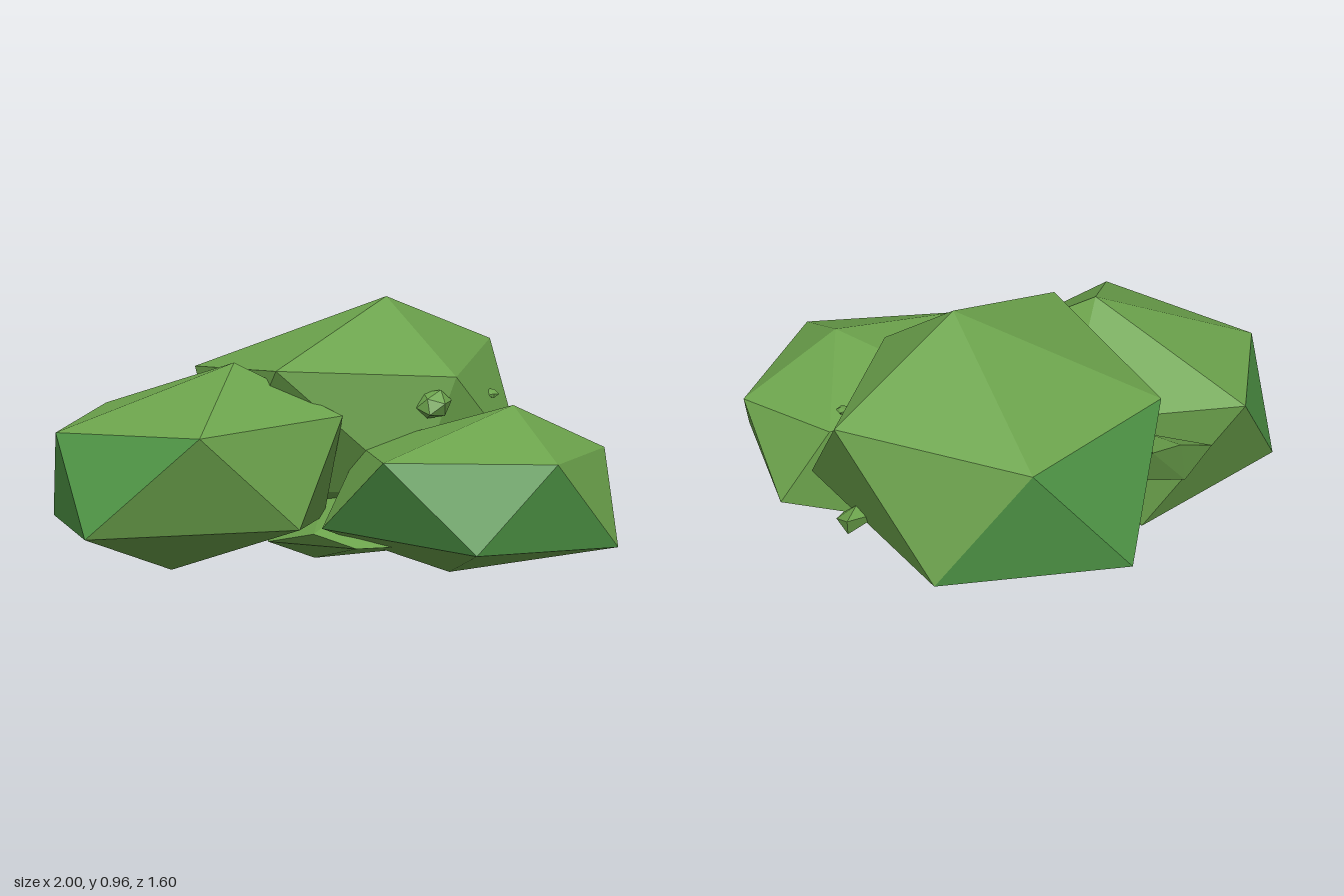
import * as THREE from 'three';
import { ConvexGeometry } from 'three/addons/geometries/ConvexGeometry.js';

const leaf = new THREE.MeshStandardMaterial({ color: 0x6ca34c });
leaf.name = 'leaf green';
const deepLeaf = new THREE.MeshStandardMaterial({ color: 0x4f9646 });
deepLeaf.name = 'deep leaf green';

// Faceted clump from its corners; facets whose corners are all in a deep set take the deeper green
function clump(name, corners, deepSets = []) {
  const points = corners.map((c) => new THREE.Vector3(...c));
  const geometry = new ConvexGeometry(points);
  const pos = geometry.attributes.position;
  const v = new THREE.Vector3();
  for (let i = 0; i < pos.count; i += 3) {
    const ids = [0, 1, 2].map((k) => {
      v.fromBufferAttribute(pos, i + k);
      return points.findIndex((p) => p.distanceTo(v) < 1e-4);
    });
    const deep = deepSets.some((set) => ids.every((id) => set.includes(id)));
    geometry.addGroup(i, 3, deep ? 1 : 0);
  }
  const mesh = new THREE.Mesh(geometry, [leaf, deepLeaf]);
  mesh.name = name;
  return mesh;
}

// Small irregular sprig poking out between the clumps
function sprig(name, x, y, z, w, h, d, turn) {
  const mesh = new THREE.Mesh(new THREE.IcosahedronGeometry(1, 0), leaf);
  mesh.scale.set(w, h, d);
  mesh.rotation.set(turn, turn * 1.7, 0);
  mesh.position.set(x, y, z);
  mesh.name = name;
  return mesh;
}

export function createModel() {
  const bush = new THREE.Group();
  bush.name = 'bush';

  // Tall clump at the back
  bush.add(clump('backClump', [
    [0.2, 0.96, -0.14], [0.605, 0.755, -0.585], [-0.18, 0.75, 0.39], [-0.05, 0.69, -0.8],
    [-0.52, 0.68, -0.29], [0.28, 0.26, -0.8], [-0.4, 0.25, -0.69], [0.45, 0.7, 0.15],
    [0.72, 0.32, -0.15], [-0.06, 0.02, -0.35], [-0.38, 0.27, 0.08], [0.3, 0.3, 0.25],
  ], [[3, 4, 6], [3, 5, 6]]));

  // Front clump on the -x side
  bush.add(clump('rightClump', [
    [-1, 0.19, 0.13], [-0.84, 0.56, -0.15], [-0.94, 0.54, 0.43], [-0.8, 0.23, 0.75],
    [-0.41, 0.58, 0.8], [-0.09, 0.24, 0.62], [-0.33, 0.77, 0.31], [0.05, 0.59, 0.35],
    [-0.57, 0, 0.18], [-0.49, 0.02, -0.1], [-0.2, 0.5, -0.14], [-0.02, 0.2, 0.17],
  ], [[0, 1, 2], [2, 3, 4], [0, 2, 3]]));

  // Front clump on the +x side
  bush.add(clump('leftClump', [
    [0.19, 0.49, 0.73], [0.5, 0.19, 0.79], [0.77, 0.48, 0.69], [0.98, 0.45, 0.15],
    [1, 0.155, 0.47], [0.64, 0.63, 0.35], [0.65, 0.47, -0.13], [0.84, 0.18, -0.14],
    [0.43, 0, 0.19], [0.27, 0.04, -0.1], [-0.02, 0.21, 0.45], [0.11, 0.45, 0.15],
  ], [[0, 1, 2], [1, 2, 4], [0, 1, 10]]));

  // Low undergrowth joining the clumps
  bush.add(clump('undergrowth', [
    [-0.25, 0.05, -0.29], [-0.06, 0, -0.03], [0.27, 0.02, -0.21], [0.4, 0.14, 0.38],
    [-0.05, 0.18, 0.4], [0.1, 0.15, 0.5], [-0.22, 0.11, 0.2], [0.15, 0.3, 0.15], [0, 0.3, -0.2],
  ]));

  // Sprigs between the clumps
  bush.add(
    clump('sideSprig', [
      [-0.72, 0.43, -0.2], [-0.59, 0.52, -0.34], [-0.49, 0.5, -0.36], [-0.45, 0.35, -0.3],
      [-0.62, 0.33, -0.27], [-0.5, 0.45, -0.15],
    ]),
    clump('backSprig', [
      [0.55, 0.35, -0.43], [0.58, 0.335, -0.51], [0.58, 0.27, -0.49],
      [0.6, 0.29, -0.38], [0.45, 0.33, -0.44], [0.62, 0.31, -0.45],
    ]),
    sprig('frontSprig', 0.37, 0.61, 0.2, 0.07, 0.05, 0.06, 0.5),
    sprig('topSprig', 0.59, 0.595, -0.19, 0.03, 0.015, 0.04, 0.2),
  );
  return bush;
}
